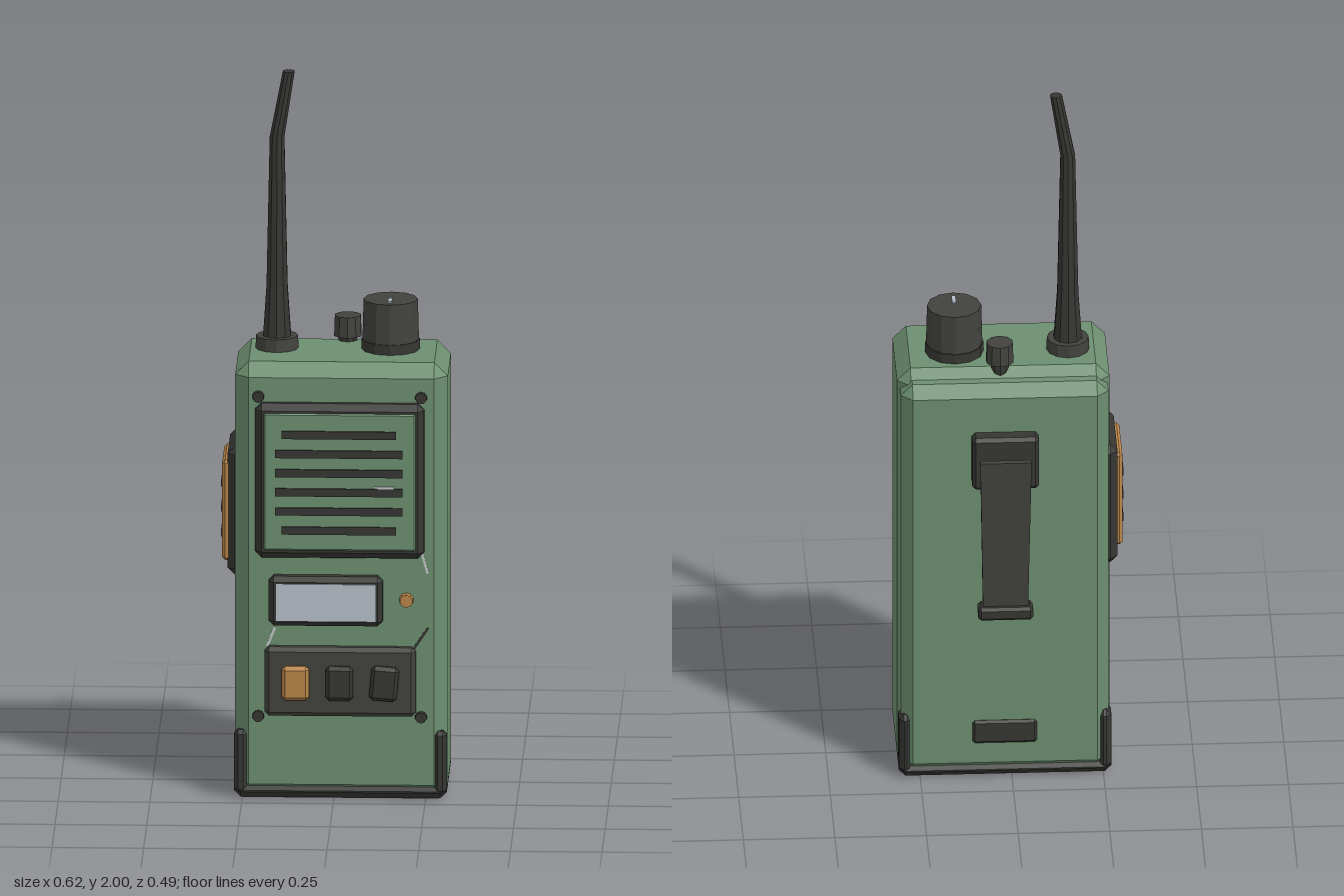
import * as THREE from 'three';
import { ConvexGeometry } from 'three/addons/geometries/ConvexGeometry.js';

const mat = (name, color) => {
  const m = new THREE.MeshStandardMaterial({ color });
  m.name = name;
  return m;
};

export function createModel() {
  const green = mat('green shell', 0x6c8f6f);
  const dark = mat('dark plastic', 0x42423e);
  const rubber = mat('black rubber', 0x363633);
  const orange = mat('orange', 0xb98548);
  const screenMat = mat('pale screen', 0xb6bfca);
  const scratchMat = mat('bare metal', 0xc0c6c6);

  const root = new THREE.Group();
  root.name = 'handheldRadio';

  const add = (name, geometry, material, parent = root) => {
    const mesh = new THREE.Mesh(geometry, material);
    mesh.name = name;
    parent.add(mesh);
    return mesh;
  };

  // Box with every edge cut at 45 degrees, given by its limits
  const bevelBox = (name, [x0, x1], [y0, y1], [z0, z1], c, material) => {
    const half = [(x1 - x0) / 2, (y1 - y0) / 2, (z1 - z0) / 2];
    const points = [];
    for (const sx of [-1, 1]) for (const sy of [-1, 1]) for (const sz of [-1, 1]) {
      for (let full = 0; full < 3; full++) {
        const p = half.map((h, i) => (i === full ? h : h - c));
        points.push(new THREE.Vector3(sx * p[0], sy * p[1], sz * p[2]));
      }
    }
    const mesh = add(name, new ConvexGeometry(points), material);
    mesh.position.set((x0 + x1) / 2, (y0 + y1) / 2, (z0 + z1) / 2);
    return mesh;
  };

  const box = (name, [x0, x1], [y0, y1], [z0, z1], material) => {
    const mesh = add(name, new THREE.BoxGeometry(x1 - x0, y1 - y0, z1 - z0), material);
    mesh.position.set((x0 + x1) / 2, (y0 + y1) / 2, (z0 + z1) / 2);
    return mesh;
  };

  // Faceted upright cylinder between two heights
  const drum = (name, x, z, y0, y1, r0, r1, sides, material) => {
    const g = new THREE.CylinderGeometry(r1, r0, y1 - y0, sides).toNonIndexed();
    g.computeVertexNormals();
    const mesh = add(name, g, material);
    mesh.position.set(x, (y0 + y1) / 2, z);
    return mesh;
  };

  // Faceted disc facing the front
  const stud = (name, x, y, z0, z1, r, material) => {
    const mesh = drum(name, x, 0, 0, z1 - z0, r, r * 0.85, 10, material);
    mesh.rotation.x = Math.PI / 2;
    mesh.position.set(x, y, (z0 + z1) / 2);
  };

  // Shell and back cover
  bevelBox('body', [-0.27, 0.31], [0.004, 1.222], [-0.122, 0.2], 0.037, green);
  bevelBox('backCover', [-0.265, 0.302], [0.015, 1.197], [-0.168, -0.06], 0.032, green);

  // Base bumper, sole and corner guards
  bevelBox('baseBumper', [-0.272, 0.308], [0.002, 0.042], [-0.166, 0.205], 0.018, rubber);
  box('sole', [-0.25, 0.286], [0, 0.004], [-0.145, 0.184], green);
  for (const [x0, x1] of [[-0.272, -0.236], [0.272, 0.308]]) {
    bevelBox('frontCornerGuard', [x0, x1], [0.015, 0.192], [0.166, 0.204], 0.011, rubber);
    bevelBox('rearCornerGuard', [x0, x1], [0.015, 0.192], [-0.166, -0.094], 0.014, rubber);
  }

  // Speaker: dark frame, green panel and six slots
  bevelBox('speakerFrame', [-0.214, 0.247], [0.683, 1.117], [0.18, 0.232], 0.018, rubber);
  bevelBox('speakerPanel', [-0.191, 0.225], [0.707, 1.094], [0.222, 0.236], 0.005, green);
  for (let i = 0; i < 6; i++) {
    const y = 1.034 - i * 0.0538;
    const half = i === 0 || i === 5 ? 0.156 : 0.174;
    box('speakerSlot', [0.015 - half, 0.015 + half], [y - 0.011, y + 0.011], [0.234, 0.241], rubber);
  }

  // Display and status light
  bevelBox('displayFrame', [-0.177, 0.134], [0.493, 0.632], [0.18, 0.235], 0.014, rubber);
  box('screen', [-0.158, 0.115], [0.509, 0.614], [0.232, 0.239], screenMat);
  stud('statusLight', 0.198, 0.563, 0.19, 0.218, 0.021, orange);

  // Keypad with three keys
  bevelBox('keypad', [-0.188, 0.224], [0.238, 0.432], [0.18, 0.228], 0.012, dark);
  [[-0.104, orange, 0], [0.016, rubber, 0], [0.138, rubber, -0.09]].forEach(([x, m, tilt]) => {
    bevelBox('key', [x - 0.038, x + 0.038], [0.286, 0.382], [0.215, 0.245], 0.01, m)
      .rotation.z = tilt;
  });

  // Screws in the corners of the front face
  for (const x of [-0.206, 0.238]) for (const y of [0.233, 1.132]) {
    stud('screw', x, y, 0.19, 0.211, 0.018, rubber);
  }

  // Scratches: centre, length, angle
  [
    [0.138, 0.888, 0.24, 0.055, 0, scratchMat],
    [0.248, 0.667, 0.2, 0.062, -1.3, scratchMat],
    [-0.171, 0.456, 0.2, 0.058, 1.19, scratchMat],
    [0.236, 0.452, 0.2, 0.076, 0.98, rubber],
  ].forEach(([x, y, z, length, angle, m]) => {
    const s = add('scratch', new THREE.BoxGeometry(length, 0.007, 0.004), m);
    s.position.set(x, y, z);
    s.rotation.z = angle;
  });

  // Side talk button with ribs
  bevelBox('talkButtonMount', [-0.292, -0.245], [0.61, 0.972], [-0.104, 0.145], 0.02, rubber);
  bevelBox('talkButton', [-0.307, -0.27], [0.65, 0.932], [-0.064, 0.127], 0.008, orange);
  for (const y of [0.72, 0.79, 0.86]) {
    box('talkButtonRib', [-0.311, -0.303], [y - 0.008, y + 0.008], [-0.04, 0.103], rubber);
  }

  // Antenna: collar and tapered whip whose last section leans outward
  const ax = -0.161, az = 0.011;
  drum('antennaCollar', ax, az, 1.2, 1.257, 0.06, 0.057, 12, dark);
  const rings = [ // height, radius, sideways shift, from the tip down
    [2.0, 0.017, 0.032], [1.815, 0.021, 0], [1.4, 0.03, 0], [1.24, 0.041, 0],
  ];
  const whip = new THREE.CylinderGeometry(1, 1, 3, 10, 3).toNonIndexed();
  const p = whip.attributes.position;
  for (let i = 0; i < p.count; i++) {
    const [y, r, shift] = rings[Math.round(1.5 - p.getY(i))];
    p.setXYZ(i, ax + shift + p.getX(i) * r, y, az + p.getZ(i) * r);
  }
  whip.computeVertexNormals();
  add('antenna', whip, rubber);

  // Volume knob with pointer, and small channel knob
  drum('volumeKnobBase', 0.149, 0.011, 1.2, 1.25, 0.08, 0.08, 12, rubber);
  drum('volumeKnob', 0.149, 0.011, 1.25, 1.362, 0.077, 0.074, 12, dark);
  box('volumePointer', [0.143, 0.154], [1.36, 1.366], [0.021, 0.061], screenMat);
  drum('channelKnobStem', 0.029, -0.079, 1.2, 1.25, 0.026, 0.026, 10, rubber);
  drum('channelKnob', 0.029, -0.079, 1.235, 1.292, 0.039, 0.037, 10, dark);

  // Belt clip: mount, sloping blade and hooked foot
  bevelBox('clipMount', [-0.072, 0.11], [0.905, 1.062], [-0.212, -0.155], 0.01, rubber);
  const blade = add('clipBlade', new THREE.BoxGeometry(0.14, 0.46, 0.016), dark);
  const b = blade.geometry.attributes.position;
  for (let i = 0; i < b.count; i++) {
    if (b.getY(i) < 0) b.setX(i, b.getX(i) * 0.88);
  }
  blade.position.set(0.02, 0.775, -0.222);
  blade.rotation.x = -0.06;
  bevelBox('clipFoot', [-0.055, 0.095], [0.514, 0.552], [-0.234, -0.177], 0.008, rubber);

  // Rear plate
  bevelBox('rearPlate', [-0.068, 0.108], [0.108, 0.177], [-0.176, -0.15], 0.007, rubber);

  return root;
}
